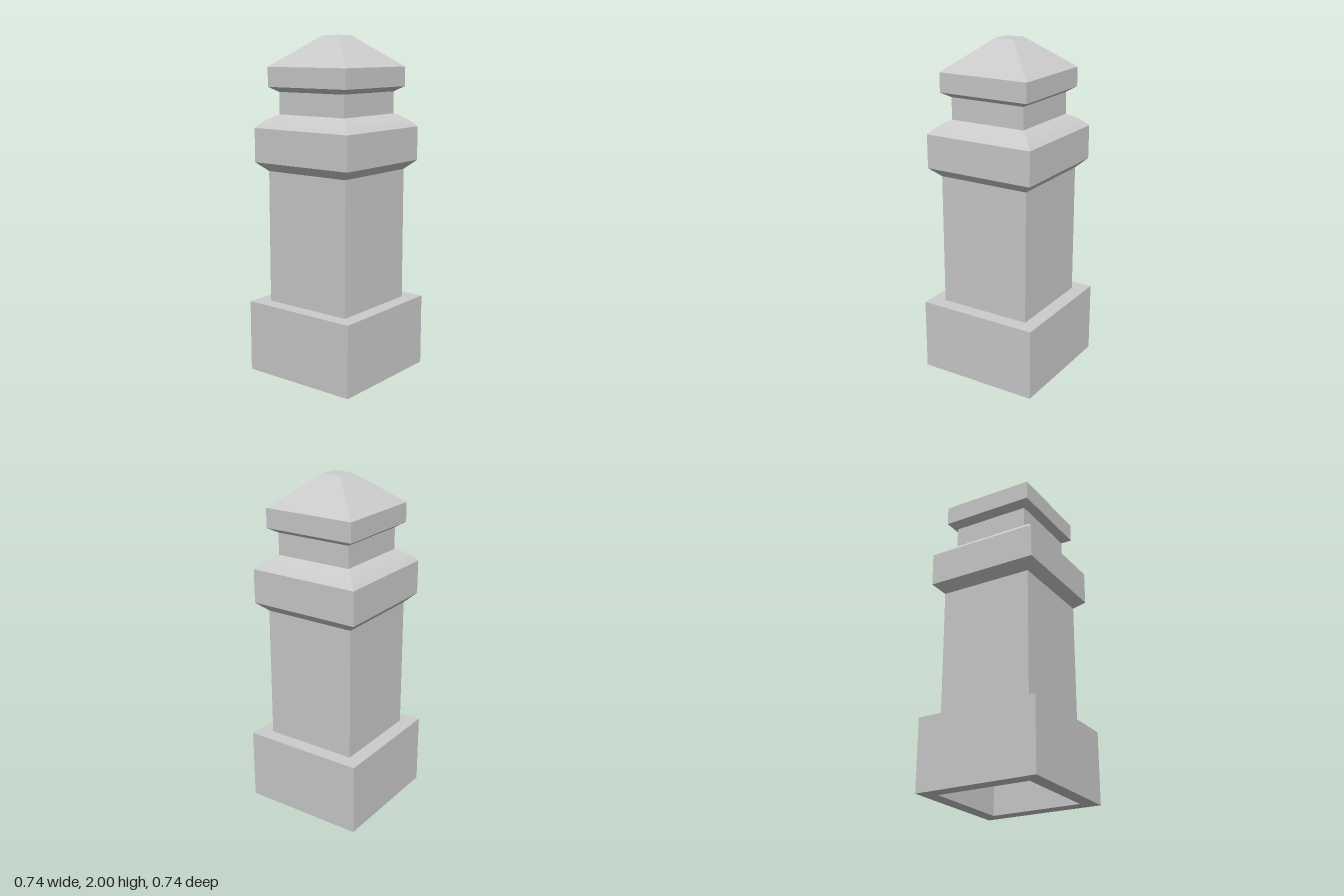
import * as THREE from 'three';
import { toCreasedNormals } from 'three/addons/utils/BufferGeometryUtils.js';

const material = new THREE.MeshStandardMaterial({ color: 0xcccccc });

// Square part swept from a profile of [half width, height], listed so faces point outward
function squarePart(name, profile) {
  const points = profile.map(([half, y]) => new THREE.Vector2(half * Math.SQRT2, y));
  const lathe = new THREE.LatheGeometry(points, 4, Math.PI / 4);
  const mesh = new THREE.Mesh(toCreasedNormals(lathe, 0.35), material);
  mesh.name = name;
  return mesh;
}

export function createModel() {
  const group = new THREE.Group();
  group.name = 'bollard';

  // Rounded shoulder between the collar and the neck
  const shoulder = new THREE.QuadraticBezierCurve(
    new THREE.Vector2(0.34, 1.47),
    new THREE.Vector2(0.29, 1.525),
    new THREE.Vector2(0.237, 1.548)
  ).getPoints(6).map((p) => [p.x, p.y]);

  group.add(
    // Plinth, hollowed from below
    squarePart('plinth', [
      [0, 0.35], [0.283, 0.35], [0.283, 0], [0.37, 0], [0.37, 0.428], [0.283, 0.428],
    ]),
    squarePart('shaft', [[0.283, 0.428], [0.283, 1.217]]),
    // Collar with a chamfered underside
    squarePart('collar', [[0.283, 1.217], [0.34, 1.27], ...shoulder]),
    squarePart('neck', [[0.237, 1.548], [0.237, 1.677]]),
    // Pyramid cap with a flat tip
    squarePart('cap', [
      [0.237, 1.677], [0.283, 1.706], [0.283, 1.82], [0.057, 2], [0, 2],
    ])
  );
  return group;
}
